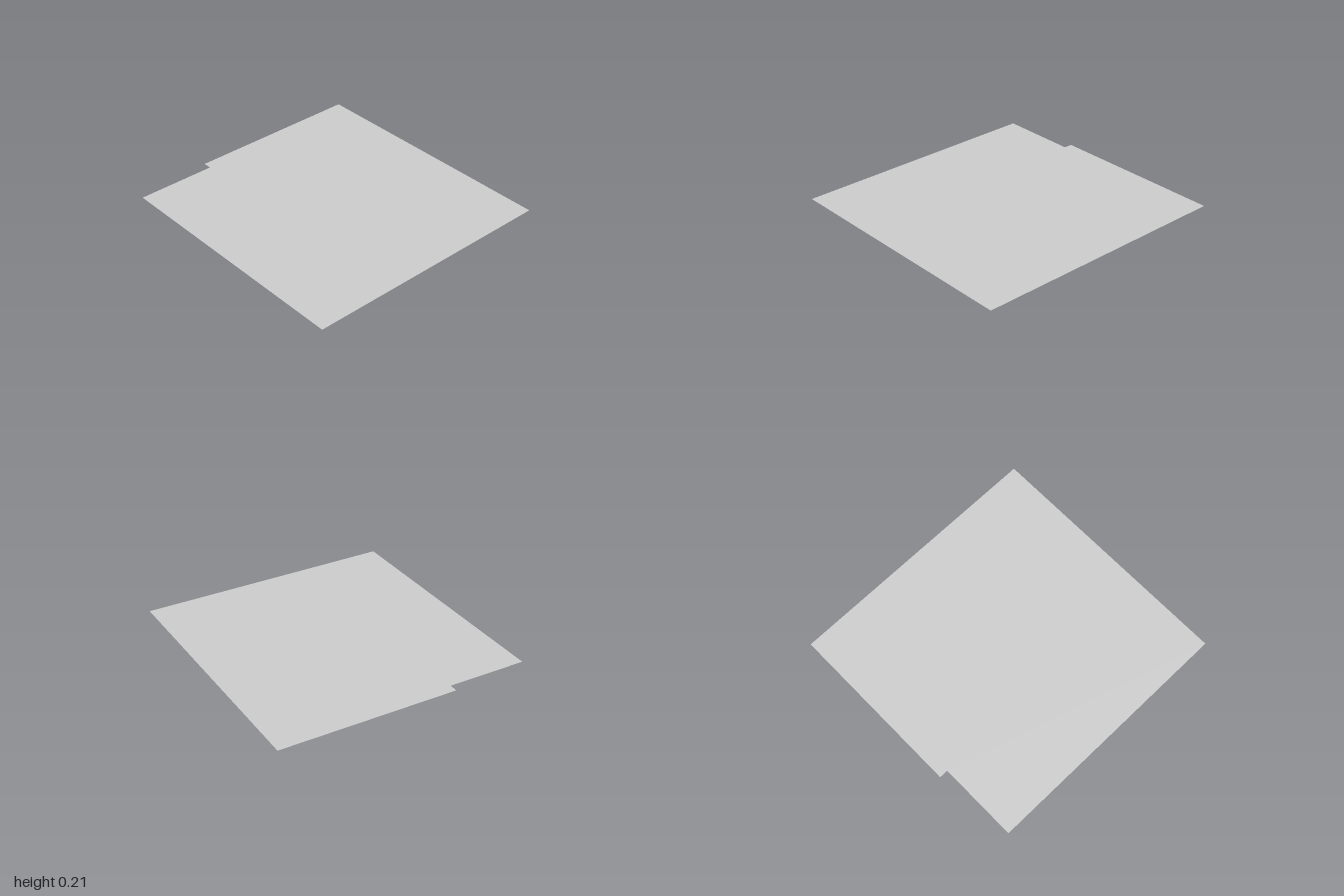
import * as THREE from 'three';

const CENTRE_X = -0.036, CEILING_Y = 0.209, BLADE_Y = 0.114;

function material(name, color, side = THREE.FrontSide) {
  const m = new THREE.MeshStandardMaterial({ color, side });
  m.name = name;
  return m;
}

function part(name, geometry, mat) {
  const mesh = new THREE.Mesh(geometry, mat);
  mesh.name = name;
  return mesh;
}

const points = (list) => list.map(([x, y]) => new THREE.Vector2(x, y));
const lathe = (profile) => new THREE.LatheGeometry(points(profile), 20);

export function createModel() {
  const plaster = material('ceiling grey', 0xcccccc, THREE.DoubleSide);
  const metal = material('housing grey', 0xb8b8b8, THREE.DoubleSide);
  const glass = material('globe white', 0xdedede);
  const wood = material('blade brown', 0x7c5232);

  const model = new THREE.Group();
  model.name = 'ceilingFan';

  // Flat ceiling sheet with a shallow step at the back right
  const outline = new THREE.Shape(points([
    [-0.967, -1], [0.967, -1], [0.967, 1], [-0.37, 1], [-0.37, 0.935], [-0.967, 0.935],
  ]));
  const ceiling = part('ceiling', new THREE.ShapeGeometry(outline).rotateX(-Math.PI / 2), plaster);
  ceiling.position.y = CEILING_Y;
  model.add(ceiling);

  const fan = new THREE.Group();
  fan.name = 'fan';
  fan.position.x = CENTRE_X;
  model.add(fan);

  // Canopy bowl, grooved motor housing and light globe
  fan.add(part('canopy', lathe([
    [0.05, 0.152], [0.072, 0.16], [0.098, 0.178], [0.107, 0.192], [0.116, CEILING_Y - 0.001],
  ]), metal));
  fan.add(part('upperHousing', new THREE.CylinderGeometry(0.052, 0.052, 0.034, 20).translate(0, 0.137, 0), metal));
  fan.add(part('hub', new THREE.CylinderGeometry(0.042, 0.042, 0.02, 20).translate(0, BLADE_Y, 0), metal));
  fan.add(part('lowerHousing', new THREE.CylinderGeometry(0.048, 0.048, 0.03, 20).translate(0, 0.091, 0), metal));
  fan.add(part('lightGlobe', lathe([
    [0, 0.001], [0.045, 0.004], [0.075, 0.013], [0.09, 0.028], [0.095, 0.045],
    [0.09, 0.061], [0.077, 0.074], [0.05, 0.083], [0, 0.084],
  ]), glass));

  // Four pitched blades, widening towards chamfered tips
  const half = [[0.12, 0.014], [0.2, 0.026], [0.32, 0.041], [0.43, 0.05], [0.475, 0.046], [0.497, 0.026]];
  const mirrored = half.map(([x, y]) => [x, -y]).reverse();
  const bladeShape = new THREE.Shape(points([...mirrored, ...half]));
  const bladeGeometry = new THREE.ExtrudeGeometry(bladeShape, { depth: 0.004, bevelEnabled: false })
    .translate(0, 0, -0.002).rotateX(-Math.PI / 2).rotateX(-0.23);
  const armGeometry = new THREE.BoxGeometry(0.1, 0.004, 0.022).translate(0.085, 0, 0);
  for (let i = 0; i < 4; i++) {
    const arm = new THREE.Group();
    arm.name = 'bladeAssembly';
    arm.position.y = BLADE_Y;
    arm.rotation.y = i * Math.PI / 2;
    arm.add(part('blade', bladeGeometry, wood), part('bladeArm', armGeometry, wood));
    fan.add(arm);
  }

  return model;
}
